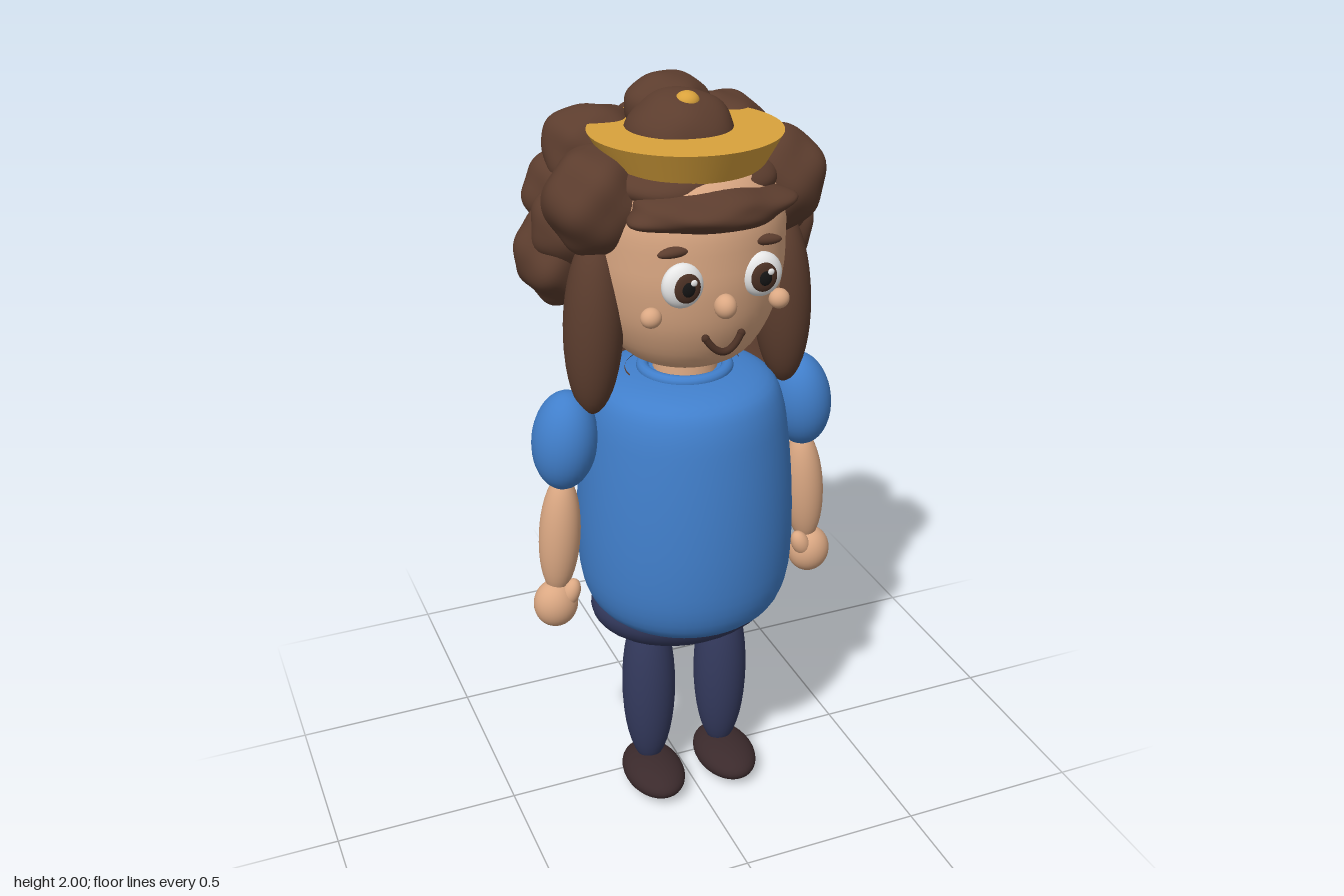
import * as THREE from 'three';
import { mergeVertices } from 'three/addons/utils/BufferGeometryUtils.js';

const mat = (name, color) => {
  const m = new THREE.MeshStandardMaterial({ color });
  m.name = name;
  return m;
};

export function createModel() {
  const root = new THREE.Group();
  root.name = 'girl';
  const hair = mat('hair brown', 0x5c3d2e);
  const skin = mat('skin', 0xdba883);
  const blue = mat('shirt blue', 0x417fcb);
  const navy = mat('trouser navy', 0x343a5e);
  const shoe = mat('shoe brown', 0x3b2a2c);
  const gold = mat('gold', 0xd9a23c);
  const white = mat('eye white', 0xeeeeee);
  const iris = mat('iris brown', 0x4a3024);
  const black = mat('pupil black', 0x151515);
  const CZ = 0.05; // depth of the body axis

  const add = (name, geo, material, x = 0, y = 0, z = 0) => {
    const m = new THREE.Mesh(geo, material);
    m.name = name;
    m.position.set(x, y, z);
    root.add(m);
    return m;
  };
  const ball = (name, material, p, r, tilt = 0) => {
    const m = add(name, new THREE.SphereGeometry(1, 32, 20), material, ...p);
    m.scale.set(...r);
    m.rotation.z = tilt;
    return m;
  };
  const lathe = (name, material, pts, z = CZ) => {
    const curve = new THREE.SplineCurve(pts.map(p => new THREE.Vector2(...p)));
    const profile = curve.getPoints(36).map(p => new THREE.Vector2(Math.max(0, p.x), p.y));
    return add(name, new THREE.LatheGeometry(profile, 48), material, 0, 0, z);
  };
  // Ellipsoid with soft lumps
  const puff = (name, p, r, seed = 0, amp = 0.06) => {
    let g = new THREE.IcosahedronGeometry(1, 12);
    g.deleteAttribute('uv');
    g.deleteAttribute('normal');
    g = mergeVertices(g);
    const a = g.attributes.position;
    const v = new THREE.Vector3();
    for (let i = 0; i < a.count; i++) {
      v.fromBufferAttribute(a, i);
      const n = Math.sin(v.x * 5 + seed) * Math.sin(v.y * 5.5 + seed * 2) + Math.sin(v.z * 5 + seed * 1.7) * Math.cos(v.x * 4 - v.y * 3 + seed);
      v.multiplyScalar(1 + amp * n);
      a.setXYZ(i, v.x * r[0], v.y * r[1], v.z * r[2]);
    }
    g.computeVertexNormals();
    return add(name, g, hair, ...p);
  };

  // Torso, collar, pelvis, neck
  lathe('shirt', blue, [[0, 0.565], [0.14, 0.57], [0.235, 0.605], [0.275, 0.68], [0.286, 0.8], [0.282, 0.95], [0.268, 1.1], [0.25, 1.2], [0.215, 1.255], [0.13, 1.28], [0, 1.285]]);
  const collar = add('collar', new THREE.TorusGeometry(0.108, 0.016, 12, 40), blue, 0, 1.282, CZ);
  collar.rotation.x = Math.PI / 2;
  ball('pelvis', navy, [0, 0.605, CZ], [0.262, 0.125, 0.192]);
  add('neck', new THREE.CylinderGeometry(0.075, 0.085, 0.14, 28), skin, 0, 1.32, CZ);

  // Limbs, mirrored
  for (const s of [1, -1]) {
    ball('leg', navy, [s * 0.108, 0.325, 0.053], [0.074, 0.265, 0.074]);
    ball('shoe', shoe, [s * 0.11, 0.05, 0.09], [0.083, 0.047, 0.125]);
    ball('sleeve', blue, [s * 0.327, 1.13, 0.053], [0.083, 0.132, 0.09], s * 0.12);
    ball('forearm', skin, [s * 0.35, 0.86, 0.053], [0.054, 0.172, 0.054], s * 0.08);
    ball('hand', skin, [s * 0.37, 0.66, 0.06], [0.059, 0.066, 0.053]);
    ball('thumb', skin, [s * 0.335, 0.695, 0.08], [0.025, 0.04, 0.025], s * 0.4);
  }

  // Head and face
  lathe('head', skin, [[0, 1.305], [0.09, 1.315], [0.165, 1.355], [0.215, 1.44], [0.238, 1.53], [0.245, 1.62], [0.235, 1.74], [0.16, 1.84], [0, 1.87]]);
  ball('nose', skin, [0, 1.533, 0.298], [0.027, 0.03, 0.03]);
  for (const s of [1, -1]) {
    ball('cheek', skin, [s * 0.165, 1.508, 0.243], [0.026, 0.025, 0.024]);
    ball('eye', white, [s * 0.1, 1.592, 0.277], [0.052, 0.055, 0.03]);
    ball('iris', iris, [s * 0.097, 1.592, 0.3], [0.033, 0.036, 0.011]);
    ball('pupil', black, [s * 0.097, 1.592, 0.306], [0.018, 0.02, 0.008]);
    ball('eyeHighlight', white, [s * 0.097 + 0.012, 1.608, 0.312], [0.008, 0.008, 0.004]);
    ball('eyebrow', hair, [s * 0.107, 1.672, 0.264], [0.05, 0.014, 0.016], -s * 0.1);
  }
  const smile = new THREE.QuadraticBezierCurve3(
    new THREE.Vector3(-0.046, 1.455, 0.289), new THREE.Vector3(0, 1.378, 0.301), new THREE.Vector3(0.046, 1.455, 0.289));
  add('mouth', new THREE.TubeGeometry(smile, 20, 0.009, 10), iris);
  for (const s of [1, -1]) ball('mouthCorner', iris, [s * 0.046, 1.455, 0.289], [0.01, 0.01, 0.009]);

  // Long hair behind the neck, a thick open shell
  const shell = [[0.15, 1.28], [0.19, 1.19], [0.225, 1.18], [0.255, 1.24], [0.272, 1.36], [0.28, 1.5], [0.26, 1.65], [0.1, 1.75]]
    .map(p => new THREE.Vector2(...p));
  const backGeo = new THREE.LatheGeometry(new THREE.SplineCurve(shell).getPoints(28), 40, Math.PI * 0.47, Math.PI * 1.06);
  const backMat = hair;
  backMat.side = THREE.DoubleSide;
  const back = add('backHair', backGeo, backMat, 0, 0, 0.04);
  back.scale.z = 0.88;

  // Cap, fringe and crown of the hair
  puff('hairCap', [0, 1.73, -0.03], [0.27, 0.145, 0.25], 1, 0.03);
  puff('hairFront', [0, 1.785, 0.08], [0.22, 0.08, 0.17], 2, 0.03);
  puff('fringe', [0, 1.745, 0.185], [0.205, 0.06, 0.13], 3.4, 0.06);
  puff('crownDome', [0, 1.86, 0.02], [0.137, 0.118, 0.133], 0, 0.02);
  puff('bun', [0, 1.92, -0.07], [0.108, 0.078, 0.1], 4, 0.03);
  puff('backPuff', [0, 1.77, -0.2], [0.14, 0.125, 0.13], 2.2, 0.07);
  puff('napePuff', [0, 1.56, -0.12], [0.2, 0.15, 0.15], 5, 0.05);

  // Side locks and curly puffs, mirrored
  for (const s of [1, -1]) {
    const k = s > 0 ? 0 : 1.3;
    ball('sideLock', hair, [s * 0.252, 1.44, 0.08], [0.073, 0.235, 0.082], s * 0.05);
    puff('sidePuff', [s * 0.228, 1.745, 0.06], [0.128, 0.13, 0.128], 1 + k, 0.04);
    puff('templePuff', [s * 0.25, 1.66, -0.04], [0.115, 0.12, 0.11], 2.5 + k, 0.05);
    puff('lowerPuff', [s * 0.285, 1.575, -0.08], [0.108, 0.125, 0.115], 3 + k, 0.06);
    puff('upperPuff', [s * 0.17, 1.815, -0.135], [0.125, 0.105, 0.115], 4 + k, 0.05);
    puff('rearPuff', [s * 0.12, 1.65, -0.2], [0.13, 0.13, 0.115], 5 + k, 0.07);
    puff('outerRearPuff', [s * 0.22, 1.7, -0.15], [0.115, 0.12, 0.1], 6 + k, 0.07);
  }

  // Flared headpiece with a bead on the crown
  add('headpiece', new THREE.CylinderGeometry(0.235, 0.185, 0.09, 64), gold, 0, 1.847, CZ);
  ball('crownBead', gold, [0, 1.958, 0.06], [0.03, 0.024, 0.03]);

  return root;
}
